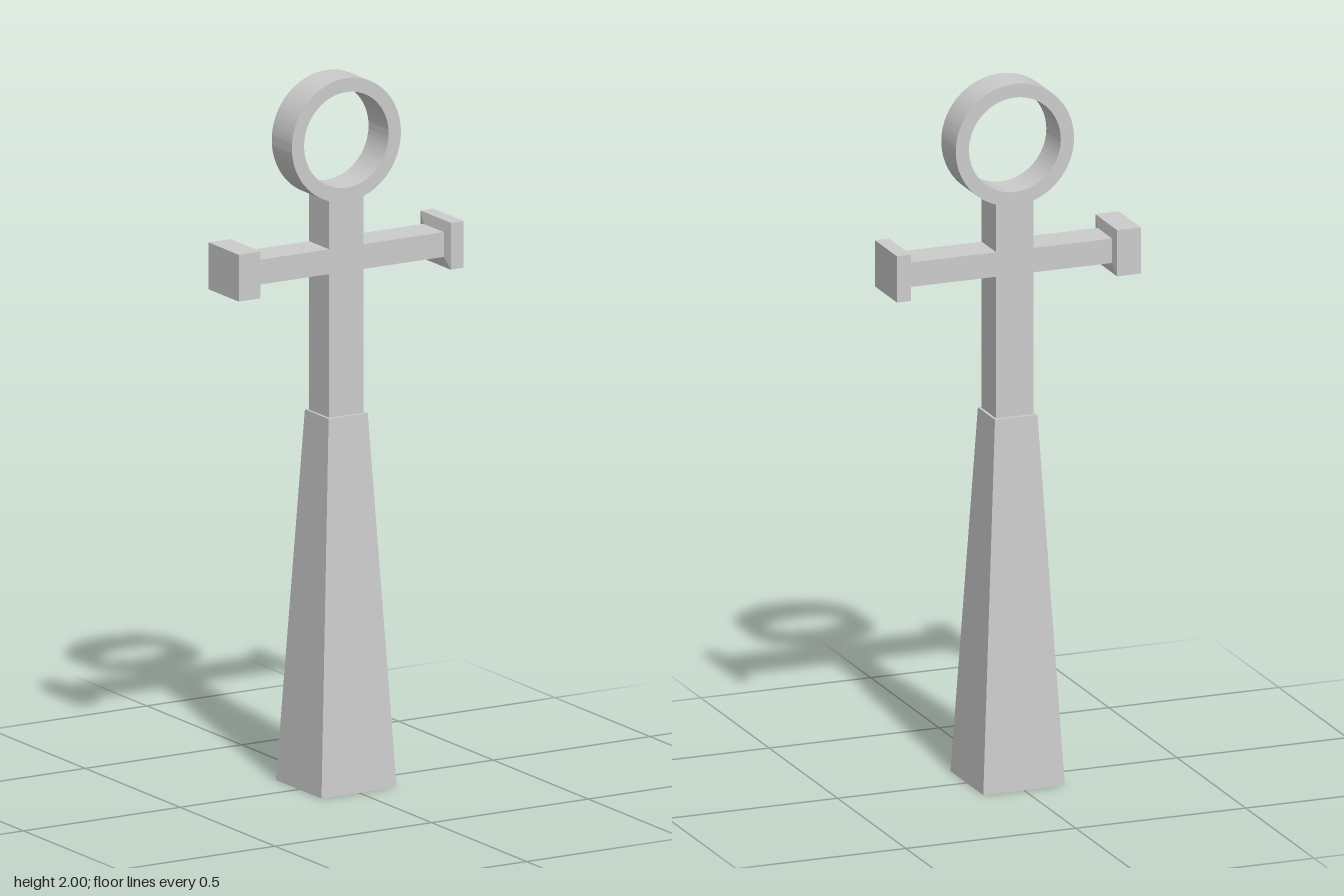
import * as THREE from 'three';
import { toCreasedNormals } from 'three/addons/utils/BufferGeometryUtils.js';

const material = new THREE.MeshStandardMaterial({ color: 0xcccccc });
const Z = -0.002;        // centre plane of the body
const DEPTH = 0.106;     // thickness of ring, shaft and arms

// Four-sided prism along an axis, from a start size to an end size [width, depth]
function taperedBox(length, start, end) {
  const geometry = new THREE.BoxGeometry(1, length, 1).toNonIndexed();
  const p = geometry.attributes.position;
  for (let i = 0; i < p.count; i++) {
    const size = p.getY(i) < 0 ? start : end;
    p.setXYZ(i, p.getX(i) * size[0], p.getY(i) + length / 2, p.getZ(i) * size[1]);
  }
  geometry.computeVertexNormals();
  return geometry;
}

export function createModel() {
  const model = new THREE.Group();
  const add = (name, geometry, parent = model) => {
    const mesh = new THREE.Mesh(geometry, material);
    mesh.name = name;
    parent.add(mesh);
    return mesh;
  };

  // Tapering pedestal and the square shaft above it
  add('base', taperedBox(1.05, [0.24, 0.24], [0.125, 0.125])).position.z = Z;
  add('shaft', taperedBox(0.62, [0.11, DEPTH], [0.11, DEPTH])).position.set(0, 1.05, Z);

  // Ring on top of the shaft
  const outline = new THREE.Shape().absarc(0, 0, 0.174, 0, Math.PI * 2, false);
  outline.holes.push(new THREE.Path().absarc(0, 0, 0.135, 0, Math.PI * 2, true));
  const ringGeometry = new THREE.ExtrudeGeometry(outline, {
    depth: DEPTH, bevelEnabled: false, curveSegments: 64,
  });
  add('ring', toCreasedNormals(ringGeometry, 0.6)).position.set(0, 1.826, Z - DEPTH / 2);

  // Arms with flared end caps; the cap on the right is longer
  const arms = [
    { name: 'leftArm', side: 1, reach: 0.311, flare: 0.006, end: 0.358 },
    { name: 'rightArm', side: -1, reach: 0.286, flare: 0.004, end: 0.36 },
  ];
  const thin = [0.07, DEPTH], wide = [0.132, 0.16];
  for (const { name, side, reach, flare, end } of arms) {
    const arm = new THREE.Group();
    arm.name = name;
    arm.position.set(0, 1.49, Z);
    arm.rotation.z = -side * Math.PI / 2;
    add(name + 'Bar', taperedBox(reach, thin, thin), arm);
    add(name + 'Flare', taperedBox(flare, thin, wide), arm).position.y = reach;
    add(name + 'Cap', taperedBox(end - reach - flare, wide, wide), arm).position.y = reach + flare;
    model.add(arm);
  }
  return model;
}
